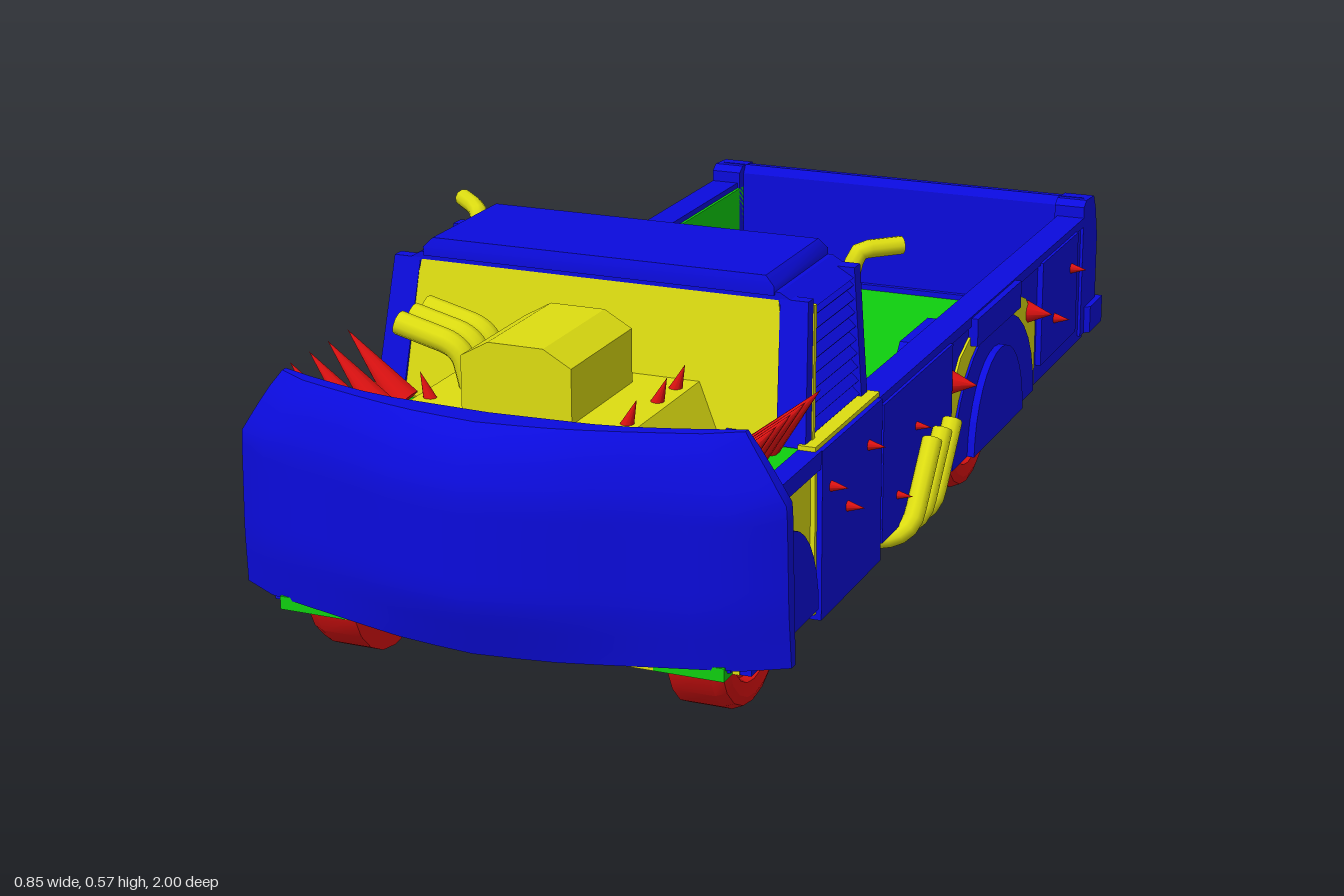
import * as THREE from 'three';
import { toCreasedNormals } from 'three/addons/utils/BufferGeometryUtils.js';

const mat = (color) => new THREE.MeshStandardMaterial({ color, side: THREE.DoubleSide });
const BLUE = mat(0x0b0bdd), GREEN = mat(0x0fcf0f), YELLOW = mat(0xdddd11), RED = mat(0xdd1111);
const V = (x, y, z) => new THREE.Vector3(x, y, z);

// piecewise linear lookup in [[t, value], ...]
function lerpTable(t, table) {
  for (let i = 1; i < table.length; i++) {
    const [a, va] = table[i - 1], [b, vb] = table[i];
    if (t <= b) return va + ((vb - va) * (t - a)) / (b - a);
  }
  return table[table.length - 1][1];
}

// move every vertex by a rule
function reshape(geo, rule) {
  const p = geo.attributes.position, v = new THREE.Vector3();
  for (let i = 0; i < p.count; i++) {
    rule(v.fromBufferAttribute(p, i));
    p.setXYZ(i, v.x, v.y, v.z);
  }
  geo.computeVertexNormals();
  return geo;
}

export function createModel() {
  const root = new THREE.Group();
  root.name = 'armouredPickup';

  const add = (name, geo, material) => {
    const m = new THREE.Mesh(geo, material);
    m.name = name;
    root.add(m);
    return m;
  };
  // box from its limits
  const box = (name, material, x0, x1, y0, y1, z0, z1) => {
    const m = add(name, new THREE.BoxGeometry(x1 - x0, y1 - y0, z1 - z0), material);
    m.position.set((x0 + x1) / 2, (y0 + y1) / 2, (z0 + z1) / 2);
    return m;
  };
  // the same box on both sides, limits given for the left
  const boxPair = (name, material, x0, x1, ...rest) => {
    box(name, material, x0, x1, ...rest);
    box(name, material, -x1, -x0, ...rest);
  };
  // side profile of [z, y] points, spread from x0 to x1
  const profile = (name, material, pts, x0, x1, rule) => {
    const shape = new THREE.Shape(pts.map(([z, y]) => new THREE.Vector2(z, y)));
    const geo = new THREE.ExtrudeGeometry(shape, { depth: x1 - x0, bevelEnabled: false });
    geo.rotateY(-Math.PI / 2).translate(x1, 0, 0);
    if (rule) reshape(geo, rule);
    return add(name, geo, material);
  };
  const profilePair = (name, material, pts, x0, x1, rule) => {
    profile(name, material, pts, x0, x1, rule);
    profile(name, material, pts, -x1, -x0, rule);
  };
  const pipe = (name, pts, r) => {
    const path = new THREE.CurvePath();
    const ends = [pts[0]];
    for (let i = 1; i < pts.length - 1; i++) {
      const a = pts[i].clone().lerp(pts[i - 1], 0.3), b = pts[i].clone().lerp(pts[i + 1], 0.3);
      path.add(new THREE.LineCurve3(ends.pop(), a));
      path.add(new THREE.QuadraticBezierCurve3(a, pts[i], b));
      ends.push(b);
    }
    path.add(new THREE.LineCurve3(ends.pop(), pts[pts.length - 1]));
    return add(name, new THREE.TubeGeometry(path, 24, r, 10, false), YELLOW);
  };
  const spike = (name, base, tip, r) => {
    const dir = tip.clone().sub(base);
    const m = add(name, new THREE.ConeGeometry(r, dir.length(), 10), RED);
    m.position.copy(base).addScaledVector(dir, 0.5);
    m.quaternion.setFromUnitVectors(V(0, 1, 0), dir.normalize());
  };
  // half-ellipse outline standing on y = 0.1
  const arch = (zc, rz, ry) => Array.from({ length: 17 }, (_, i) => {
    const a = (i / 16) * Math.PI;
    return [zc + rz * Math.cos(a), 0.1 + ry * Math.sin(a)];
  });

  // Ram plate at the nose: bent in plan, rounded at the top
  const ram = reshape(new THREE.BoxGeometry(2, 1, 1, 14, 14, 1), (p) => {
    const u = Math.abs(p.x), v = p.y + 0.5;
    const back = lerpTable(u, [[0, 0.905], [0.5, 0.895], [0.8, 0.865], [1, 0.838]]);
    const front = lerpTable(u, [[0, 1], [0.25, 0.985], [0.55, 0.94], [0.88, 0.9], [1, 0.86]]);
    const lean = lerpTable(v, [[0, 0.3], [0.25, 0], [0.75, 0], [0.93, 0.25], [1, 0.55]]);
    p.x *= lerpTable(v, [[0, 0.425], [0.71, 0.42], [0.9, 0.38], [1, 0.355]]);
    p.z = p.z > 0 ? front - (front - back) * lean : back;
    p.y = 0.115 + 0.33 * v;
  });
  add('ramPlate', toCreasedNormals(ram, 0.6), BLUE);

  // Underbody with a recess over each axle
  box('bedFloor', GREEN, -0.33, 0.33, 0.14, 0.15, -0.79, 0.33);
  box('rearUnderfloor', GREEN, -0.33, 0.33, 0.108, 0.14, -0.79, -0.36);
  box('midUnderfloor', GREEN, -0.33, 0.33, 0.108, 0.14, -0.1, 0.33);
  box('cabFloor', YELLOW, -0.33, 0.33, 0.105, 0.13, 0.33, 0.6);
  box('rearRecess', BLUE, -0.23, 0.23, 0.134, 0.141, -0.36, -0.1);
  box('frontRecess', BLUE, -0.24, 0.24, 0.18, 0.19, 0.6, 0.87);
  boxPair('frontRecessSide', BLUE, 0.225, 0.235, 0.11, 0.3, 0.6, 0.87);
  boxPair('noseLip', GREEN, 0.24, 0.345, 0.1, 0.12, 0.865, 0.9);
  box('noseLipCentre', YELLOW, -0.24, 0.24, 0.1, 0.12, 0.865, 0.9);

  // Load bed
  box('bedFrontWall', GREEN, -0.335, 0.335, 0.12, 0.335, 0.33, 0.34);
  boxPair('bedInnerWall', GREEN, 0.31, 0.322, 0.12, 0.325, -0.79, 0.33);
  boxPair('bedRail', BLUE, 0.315, 0.365, 0.318, 0.335, -0.79, 0.335);
  boxPair('bedSide', BLUE, 0.34, 0.36, 0.1, 0.325, -0.8, 0.335);
  profilePair('wheelWell', BLUE,
    [[-0.355, 0.11], [-0.11, 0.11], [-0.115, 0.21], [-0.16, 0.262], [-0.305, 0.262], [-0.35, 0.21]], 0.225, 0.315);
  boxPair('rearSidePlate', BLUE, 0.36, 0.37, 0.135, 0.322, -0.72, -0.5);
  boxPair('frontSidePlate', BLUE, 0.36, 0.37, 0.1, 0.322, 0, 0.33);
  boxPair('archArmour', BLUE, 0.355, 0.376, 0.285, 0.332, -0.35, -0.11);

  // Rear fenders in layers
  profilePair('rearFenderTrim', YELLOW,
    [[0, 0.1], [0, 0.22], [-0.06, 0.28], [-0.15, 0.315], [-0.33, 0.315], [-0.42, 0.28], [-0.48, 0.22], [-0.48, 0.1]], 0.35, 0.364);
  profilePair('rearFender', BLUE, arch(-0.24, 0.225, 0.195), 0.35, 0.368);
  profilePair('rearWheelSkirt', BLUE, arch(-0.228, 0.135, 0.15), 0.35, 0.38);

  // Tailgate and rear bumper
  profile('tailgate', BLUE,
    [[-0.79, 0.11], [-0.79, 0.35], [-0.8, 0.365], [-0.83, 0.36], [-0.845, 0.33], [-0.85, 0.11]], -0.355, 0.355);
  profilePair('tailCorner', BLUE,
    [[-0.77, 0.11], [-0.77, 0.355], [-0.785, 0.365], [-0.835, 0.362], [-0.85, 0.335], [-0.865, 0.28], [-0.865, 0.11]], 0.31, 0.365);
  box('tailgatePanel', BLUE, -0.29, 0.29, 0.17, 0.285, -0.862, -0.84);
  const bumper = new THREE.Shape([[-0.375, 0.8], [-0.375, 0.88], [0.375, 0.88], [0.375, 0.8], [0.34, 0.78], [-0.34, 0.78]]
    .map(([x, z]) => new THREE.Vector2(x, z)));
  add('rearBumper', new THREE.ExtrudeGeometry(bumper, { depth: 0.05, bevelEnabled: false })
    .rotateX(-Math.PI / 2).translate(0, 0.11, 0), BLUE);

  // Cab doors, pillars, roof
  boxPair('doorFrame', YELLOW, 0.335, 0.362, 0.085, 0.342, 0.328, 0.6);
  boxPair('door', BLUE, 0.345, 0.37, 0.075, 0.335, 0.337, 0.592);
  const lean = (p) => { p.x *= 1 - 0.2 * (p.y - 0.335); };
  profilePair('frontPillar', BLUE, [[0.595, 0.335], [0.57, 0.335], [0.53, 0.54], [0.55, 0.54]], 0.3, 0.345, lean);
  profilePair('windowTrim', YELLOW, [[0.572, 0.335], [0.562, 0.335], [0.522, 0.53], [0.532, 0.53]], 0.31, 0.347, lean);
  profilePair('rearPillar', BLUE, [[0.36, 0.335], [0.335, 0.335], [0.335, 0.54], [0.36, 0.54]], 0.3, 0.345, lean);
  profile('windscreen', YELLOW, [[0.59, 0.335], [0.58, 0.335], [0.538, 0.548], [0.548, 0.548]], -0.325, 0.325,
    (p) => { p.x *= 1 - 0.6 * (p.y - 0.335); });
  add('roofSkirt', reshape(new THREE.BoxGeometry(0.66, 0.025, 0.215), (p) => {
    if (p.y > 0) p.x *= 0.87;
  }).translate(0, 0.537, 0.4425), BLUE);
  add('roof', reshape(new THREE.BoxGeometry(0.56, 0.028, 0.22, 1, 2, 1), (p) => {
    if (p.y > 0.01) { p.x *= 0.95; p.z *= 0.96; }
  }).translate(0, 0.559, 0.445), BLUE);

  // Louvres in the side and rear windows
  for (let i = 0; i < 9; i++) {
    const y = 0.35 + i * 0.021, x = 0.333 * (1 - 0.2 * (y - 0.335)), zf = 0.565 - 0.2 * (y - 0.335);
    for (const s of [1, -1]) {
      box('sideLouvre', BLUE, s * x - 0.01, s * x + 0.01, y - 0.003, y + 0.003, 0.355, zf).rotation.z = -s * 0.75;
    }
    box('rearLouvre', BLUE, -0.3, 0.3, y - 0.009, y + 0.009, 0.336, 0.342).rotation.x = 0.35;
  }
  boxPair('rearWindowTrim', YELLOW, 0.29, 0.303, 0.335, 0.53, 0.325, 0.345);
  box('rearWindowTrim', YELLOW, -0.3, 0.3, 0.522, 0.534, 0.325, 0.345);

  // Front fenders and engine bay
  boxPair('frontSide', YELLOW, 0.34, 0.355, 0.1, 0.312, 0.59, 0.87);
  boxPair('frontFenderRail', BLUE, 0.335, 0.368, 0.308, 0.335, 0.59, 0.87);
  boxPair('frontFenderTop', GREEN, 0.235, 0.345, 0.31, 0.333, 0.59, 0.88);
  boxPair('bonnetEdge', BLUE, 0.222, 0.238, 0.31, 0.35, 0.59, 0.87);
  profilePair('frontWheelSkirt', BLUE, arch(0.738, 0.13, 0.16), 0.345, 0.372);
  box('noseWall', BLUE, -0.35, 0.35, 0.11, 0.33, 0.85, 0.89);
  // bonnet with sloping flanks
  add('bonnet', reshape(new THREE.BoxGeometry(0.444, 0.1, 0.265), (p) => {
    if (p.y > 0) { p.x *= 0.78; if (p.z > 0) p.z -= 0.015; }
  }).translate(0, 0.36, 0.7075), YELLOW);
  add('airScoop', reshape(new THREE.BoxGeometry(0.17, 0.11, 0.205, 4, 2, 1), (p) => {
    if (p.y > 0.05) p.y -= Math.abs(p.x) > 0.06 ? 0.024 : 0;
  }).translate(0, 0.46, 0.717).toNonIndexed(), YELLOW).geometry.computeVertexNormals();
  for (const z of [0.635, 0.677, 0.72]) {
    pipe('enginePipe', [V(-0.235, 0.493, z), V(-0.135, 0.468, z), V(-0.115, 0.39, z)], 0.018);
  }

  for (const s of [1, -1]) {
    // Large fender spikes and small bonnet studs
    for (const z of [0.62, 0.68, 0.735, 0.79]) {
      spike('fenderSpike', V(s * 0.285, 0.335, z), V(s * 0.377, 0.437, z), 0.026);
    }
    for (const z of [0.615, 0.68, 0.785]) spike('bonnetSpike', V(s * 0.15, 0.4, z), V(s * 0.168, 0.447, z), 0.012);

    // Small spikes on the flanks as [z, y, radius]
    for (const [z, y, r] of [[-0.02, 0.25, 0.021], [-0.44, 0.25, 0.021], [-0.68, 0.265, 0.013], [-0.58, 0.2, 0.013],
      [0.555, 0.27, 0.012], [0.395, 0.28, 0.012], [0.485, 0.215, 0.012], [0.175, 0.24, 0.01], [0.26, 0.155, 0.01], [0.07, 0.17, 0.01]]) {
      spike('sideSpike', V(s * 0.358, y, z), V(s * (0.385 + r), y, z), r);
    }

    // Side exhausts running out from below the floor
    for (let i = 0; i < 3; i++) {
      const z = 0.255 - i * 0.05;
      pipe('sideExhaust', [V(s * 0.14, 0.075, z), V(s * 0.386, 0.075, z), V(s * 0.386, 0.21, z - 0.11)], 0.016);
    }

    // Upright stacks behind the cab
    pipe('exhaustStack', [V(s * 0.305, 0.2, 0.315), V(s * 0.305, 0.551, 0.315), V(s * 0.367, 0.551, 0.253)], 0.014);

    // Rear exhausts with flared tips
    for (const x of [0.09, 0.2]) {
      pipe('rearExhaust', [V(s * x, 0.074, -0.61), V(s * x, 0.074, -0.89), V(s * x, 0.105, -0.94)], 0.023);
      const tip = add('exhaustTip', new THREE.CylinderGeometry(0.035, 0.023, 0.075, 12, 1, true), YELLOW);
      tip.position.set(s * x, 0.108, -0.9625);
      tip.rotation.x = -Math.PI / 2;
    }

    // Wheels with a rounded shoulder and a stepped hub
    for (const z of [0.745, -0.227]) {
      const outline = [[0, -0.042], [0.125, -0.042], [0.125, 0.022], [0.118, 0.038], [0.105, 0.043],
        [0.085, 0.04], [0.08, 0.028], [0.045, 0.028], [0.04, 0.04], [0, 0.04]];
      const geo = new THREE.LatheGeometry(outline.map(([r, h]) => new THREE.Vector2(r, h)), 20);
      const wheel = add('wheel', toCreasedNormals(geo, 0.5), RED);
      wheel.position.set(s * 0.287, 0.125, z);
      wheel.rotation.z = -s * Math.PI / 2;
    }
  }

  // Axles with a short centre strut
  for (const z of [0.745, -0.227]) {
    add('axle', new THREE.CylinderGeometry(0.014, 0.014, 0.52, 10).rotateZ(Math.PI / 2).translate(0, 0.117, z), RED);
    box('axleStrut', RED, -0.012, 0.012, 0.105, 0.13, z - 0.05, z + 0.05);
  }
  return root;
}
